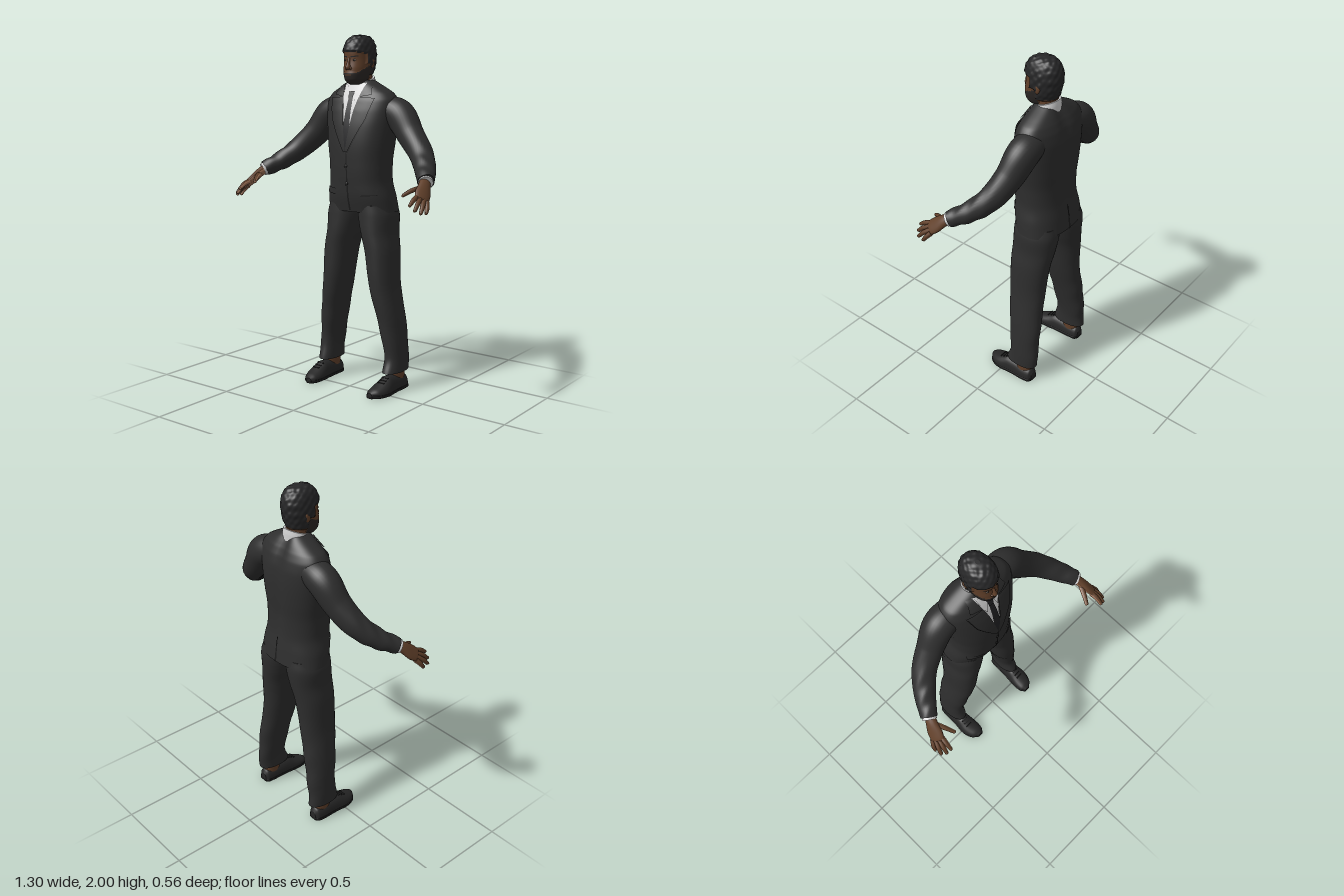
import * as THREE from 'three';

const V = (x, y, z) => new THREE.Vector3(x, y, z);
const mat = (name, color, side = THREE.FrontSide) => {
  const m = new THREE.MeshStandardMaterial({ color, side });
  m.name = name;
  return m;
};
const POW = 2.3;
const spow = (c, p) => Math.sign(c) * Math.abs(c) ** (2 / p);

// Smooth curves through section keys [x, y, z, halfWidth, halfDepth]
function curves(keys) {
  return [
    new THREE.CatmullRomCurve3(keys.map(k => V(k[0], k[1], k[2]))),
    new THREE.CatmullRomCurve3(keys.map(k => V(k[3], k[4], 0))),
  ];
}

// Skins superelliptic sections; a fixed axis keeps the sections parallel
function loft(keys, { axis, ref = V(0, 0, -1), pow = 2, steps = 24, seg = 28, warp, paint } = {}) {
  const [path, size] = curves(keys);
  const pos = [], groups = [];
  for (let i = 0; i <= steps; i++) {
    const t = i / steps, c = path.getPoint(t), r = size.getPoint(t);
    const T = axis || path.getTangent(t);
    const s = ref.clone().cross(T).normalize(), w = T.clone().cross(s).normalize();
    for (let j = 0; j < seg; j++) {
      const a = j / seg * Math.PI * 2;
      const p = c.clone().addScaledVector(s, r.x * spow(Math.cos(a), pow)).addScaledVector(w, r.y * spow(Math.sin(a), pow));
      if (warp) warp(p);
      pos.push(p.x, p.y, p.z);
    }
  }
  const at = k => V(pos[k * 3], pos[k * 3 + 1], pos[k * 3 + 2]);
  for (let i = 0; i < steps; i++) for (let j = 0; j < seg; j++) {
    const a = i * seg + j, b = i * seg + (j + 1) % seg, c = b + seg, d = a + seg;
    const g = paint ? paint(at(a).add(at(c)).multiplyScalar(0.5)) : 0;
    (groups[g] ||= []).push(a, b, c, a, c, d);
  }
  // Flat end caps with their own corners
  for (const end of [0, steps]) {
    const base = pos.length / 3, mid = V(0, 0, 0);
    for (let j = 0; j < seg; j++) {
      const p = at(end * seg + j);
      pos.push(p.x, p.y, p.z);
      mid.addScaledVector(p, 1 / seg);
    }
    pos.push(mid.x, mid.y, mid.z);
    const g = paint ? paint(mid) : 0;
    for (let j = 0; j < seg; j++) {
      const k = base + j, n = base + (j + 1) % seg;
      (groups[g] ||= []).push(base + seg, end ? k : n, end ? n : k);
    }
  }
  const geo = new THREE.BufferGeometry();
  geo.setAttribute('position', new THREE.Float32BufferAttribute(pos, 3));
  const index = [];
  groups.forEach((list, g) => {
    geo.addGroup(index.length, list.length, g);
    for (const k of list) index.push(k);
  });
  geo.setIndex(index);
  geo.computeVertexNormals();
  return geo;
}

// Depth of an upright loft's front (sign 1) or back (sign -1) at x, y
function surfaceZ(keys, pow, x, y, sign = 1) {
  const [path, size] = curves(keys);
  let lo = 0, hi = 1;
  for (let i = 0; i < 24; i++) {
    const m = (lo + hi) / 2;
    if (path.getPoint(m).y < y) lo = m; else hi = m;
  }
  const r = size.getPoint(lo), u = Math.min(1, Math.abs(x) / r.x);
  return path.getPoint(lo).z + sign * r.y * (1 - u ** pow) ** (1 / pow);
}

// Thin cloth plate between two [x, y] edges, laid on a loft's surface
function patch(keys, pow, edgeA, edgeB, off, m = 1, sign = 1) {
  const along = (e, t) => {
    const f = t * (e.length - 1), i = Math.min(e.length - 2, Math.floor(f)), k = f - i;
    return [0, 1].map(n => e[i][n] * (1 - k) + e[i + 1][n] * k);
  };
  const geo = new THREE.PlaneGeometry(1, 1, 6, 16), p = geo.attributes.position;
  for (let i = 0; i < p.count; i++) {
    const u = p.getX(i) + 0.5, t = 0.5 - p.getY(i), a = along(edgeA, t), b = along(edgeB, t);
    const x = a[0] + (b[0] - a[0]) * u, y = a[1] + (b[1] - a[1]) * u;
    p.setXYZ(i, x * m, y, surfaceZ(keys, pow, x, y, sign) + off * sign);
  }
  geo.computeVertexNormals();
  return geo;
}

export function createModel() {
  const model = new THREE.Group();
  model.name = 'suitedMan';
  const D = THREE.DoubleSide;
  const suit = mat('charcoalSuit', 0x2e2e2e, D), seam = mat('darkSeam', 0x1c1c1c, D), shirt = mat('whiteShirt', 0xd2d2d2, D);
  const tie = mat('blackTie', 0x222224, D), leather = mat('shoeLeather', 0x272727), skin = mat('brownSkin', 0x61402a, D);
  const palmSkin = mat('palmSkin', 0x9c7055), hair = mat('blackHair', 0x262627, D), beard = mat('beard', 0x2b2725);
  const eyeWhite = mat('eyeWhite', 0xa89c90);
  const add = (name, geo, material, parent = model) => {
    const mesh = new THREE.Mesh(geo, material);
    mesh.name = name;
    parent.add(mesh);
    return mesh;
  };
  const ball = (name, x, y, z, sx, sy, sz, material) => {
    const b = add(name, new THREE.SphereGeometry(1, 16, 12), material);
    b.position.set(x, y, z);
    b.scale.set(sx, sy, sz);
    return b;
  };
  const Y = V(0, 1, 0), Z = V(0, 0, 1);

  // Jacket body: y, front z, back z, half width
  const torso = [
    [1.02, 0.0, -0.275, 0.215], [1.1, 0.02, -0.265, 0.205], [1.2, 0.03, -0.252, 0.184], [1.3, 0.035, -0.25, 0.186],
    [1.4, 0.035, -0.257, 0.2], [1.5, 0.025, -0.26, 0.213], [1.58, 0.008, -0.255, 0.222], [1.64, -0.012, -0.24, 0.222],
    [1.68, -0.03, -0.222, 0.195], [1.71, -0.045, -0.205, 0.145], [1.738, -0.058, -0.188, 0.092], [1.75, -0.065, -0.18, 0.07],
  ].map(([y, f, b, w]) => [0, y, (f + b) / 2, w, (f - b) / 2]);
  // Shallow spine hollow and shoulder blades
  const spine = p => {
    if (p.z < -0.15 && p.y > 1.1) p.z += 0.012 * Math.exp(-((p.x / 0.035) ** 2)) * Math.min(1, (p.y - 1.1) * 5);
  };
  add('jacketBody', loft(torso, { axis: Y, pow: POW, steps: 60, seg: 64, warp: spine }), suit);
  const cloth = (name, a, b, off, material, m, sign) => add(name, patch(torso, POW, a, b, off, m, sign), material);

  cloth('tieBlade', [[-0.014, 1.66], [-0.021, 1.5], [-0.008, 1.36]], [[0.014, 1.66], [0.021, 1.5], [0.008, 1.36]], 0.008, tie);
  cloth('tieKnot', [[-0.021, 1.692], [-0.013, 1.65]], [[0.021, 1.692], [0.013, 1.65]], 0.013, tie);
  cloth('frontClosure', [[0, 1.37], [0, 1.03]], [[0.005, 1.37], [0.012, 1.03]], 0.003, seam);
  cloth('backVent', [[-0.003, 1.17], [-0.007, 1.022]], [[0.003, 1.17], [0.007, 1.022]], 0.004, seam, 1, -1);
  for (const y of [1.28, 1.18]) ball('jacketButton', 0.001, y, surfaceZ(torso, POW, 0, y) + 0.004, 0.01, 0.01, 0.004, seam);

  // Standing shirt collar, lower at the throat
  add('shirtCollar', loft([[0, 1.69, -0.122, 0.078, 0.068], [0, 1.73, -0.122, 0.075, 0.066], [0, 1.757, -0.122, 0.068, 0.062]],
    { axis: Y, warp: p => { p.y -= (p.z + 0.122) * 0.35; } }), shirt);
  add('neck', loft([[0, 1.66, -0.125, 0.064, 0.06], [0, 1.74, -0.12, 0.057, 0.057], [0, 1.81, -0.105, 0.056, 0.062]], { axis: Y }), skin);

  for (const m of [1, -1]) {
    // Shirt front, collar wings, jacket collar, lapels and pocket flaps
    cloth('shirtFront', [[0, 1.735], [0, 1.36]], [[0.075, 1.735], [0.055, 1.66], [0.035, 1.59], [0.004, 1.36]], 0.004, shirt, m);
    cloth('collarWing', [[0.01, 1.70], [0.035, 1.622]], [[0.068, 1.738], [0.052, 1.655]], 0.01, shirt, m);
    cloth('jacketCollar', [[0.074, 1.738], [0.052, 1.66]], [[0.105, 1.728], [0.125, 1.672]], 0.01, suit, m);
    cloth('lapel', [[0.052, 1.66], [0.036, 1.59], [0, 1.365]], [[0.148, 1.655], [0.115, 1.54], [0.012, 1.355]], 0.0095, suit, m);
    cloth('lapelEdge', [[0.148, 1.655], [0.115, 1.54], [0.012, 1.355]], [[0.151, 1.654], [0.118, 1.538], [0.014, 1.353]], 0.005, seam, m);
    cloth('pocketFlap', [[0.085, 1.15], [0.085, 1.118]], [[0.17, 1.155], [0.17, 1.123]], 0.006, suit, m);
    cloth('pocketSeam', [[0.085, 1.118], [0.085, 1.114]], [[0.17, 1.123], [0.17, 1.119]], 0.005, seam, m);

    // Sleeve with light folds at the elbow and wrist
    const fold = p => { p.y += 0.003 * Math.sin(p.z * 95) * Math.min(1, Math.max(0, (Math.abs(p.x) - 0.36) * 8)); };
    add('sleeve', loft([[0.14, 1.595, -0.14, 0.08, 0.075], [0.235, 1.56, -0.142, 0.085, 0.088], [0.325, 1.455, -0.122, 0.073, 0.077],
      [0.42, 1.36, -0.08, 0.066, 0.066], [0.495, 1.288, -0.005, 0.058, 0.055], [0.558, 1.236, 0.086, 0.045, 0.043]]
      .map(k => [k[0] * m, ...k.slice(1)]), { ref: Y, steps: 50, seg: 32, warp: fold }), suit);
    add('shirtCuff', loft([[0.545 * m, 1.246, 0.067, 0.038, 0.036], [0.565 * m, 1.23, 0.097, 0.039, 0.036]], { ref: Y, steps: 2 }), shirt);

    // Hand: brown back and a lighter twin shifted toward the palm side
    const back = V(0.77 * m, 0.6, 0.23);
    const fingers = [
      [[0.58, 1.172, 0.2], [0.585, 1.158, 0.24], [0.586, 1.136, 0.272]],
      [[0.594, 1.162, 0.192], [0.607, 1.138, 0.236], [0.612, 1.111, 0.266]],
      [[0.608, 1.152, 0.18], [0.626, 1.125, 0.219], [0.634, 1.097, 0.245]],
      [[0.618, 1.143, 0.167], [0.635, 1.117, 0.19], [0.641, 1.094, 0.206]],
      [[0.562, 1.212, 0.13], [0.535, 1.197, 0.185], [0.514, 1.176, 0.226]],
    ];
    for (const [side, material, scale, shift] of [['Back', skin, 1, 0], ['Palm', palmSkin, 0.95, -0.005]]) {
      const hand = new THREE.Group();
      hand.name = 'hand' + side;
      hand.position.copy(back).multiplyScalar(shift);
      model.add(hand);
      add('palm' + side, loft([[0.55, 1.243, 0.077, 0.028, 0.024], [0.57, 1.216, 0.118, 0.034, 0.022], [0.588, 1.18, 0.16, 0.044, 0.019],
        [0.6, 1.157, 0.188, 0.04, 0.015], [0.603, 1.15, 0.196, 0.03, 0.008]]
        .map(k => [k[0] * m, k[1], k[2], k[3] * scale, k[4] * scale]), { ref: back, seg: 20 }), material, hand);
      for (const f of fingers) {
        const keys = f.map((p, i) => [p[0] * m, p[1], p[2], [0.013, 0.012, 0.009][i] * scale, [0.013, 0.011, 0.008][i] * scale]);
        add('finger' + side, loft(keys, { ref: back, steps: 8, seg: 10 }), material, hand);
        const tip = add('fingertip' + side, new THREE.SphereGeometry(0.0085 * scale, 10, 8), material, hand);
        tip.position.set(f[2][0] * m, f[2][1], f[2][2]);
      }
    }

    // Trouser leg with soft creases
    const crease = p => { p.z += 0.004 * Math.sin(p.y * 34 + p.x * 20) * Math.max(0, 1 - p.y * 1.3); };
    add('trouserLeg', loft([[0.2325, 0.11, -0.128, 0.053, 0.102], [0.23, 0.2, -0.14, 0.055, 0.09], [0.203, 0.4, -0.13, 0.067, 0.1],
      [0.165, 0.6, -0.115, 0.076, 0.11], [0.1425, 0.8, -0.12, 0.0875, 0.12], [0.12, 0.9, -0.127, 0.095, 0.128],
      [0.107, 1.0, -0.133, 0.107, 0.131], [0.1, 1.06, -0.13, 0.096, 0.125]]
      .map(k => [k[0] * m, ...k.slice(1)]), { axis: Y, pow: 2.15, steps: 50, seg: 36, warp: crease }), suit);
    add('ankle', loft([[0.233 * m, 0.05, -0.14, 0.036, 0.055], [0.233 * m, 0.13, -0.14, 0.038, 0.055]], { axis: Y, steps: 3 }), skin);

    // Shoe: x, z, half width, top height
    const shoe = [[0.233, -0.21, 0.024, 0.055], [0.234, -0.195, 0.04, 0.078], [0.235, -0.15, 0.045, 0.085], [0.234, -0.09, 0.046, 0.094],
      [0.234, -0.04, 0.049, 0.097], [0.234, 0.0, 0.054, 0.08], [0.231, 0.04, 0.053, 0.062], [0.225, 0.08, 0.041, 0.047], [0.218, 0.107, 0.015, 0.032]];
    add('shoeUpper', loft(shoe.map(([x, z, a, h]) => [x * m, 0.018, z, a, h - 0.018]),
      { axis: Z, ref: Y, pow: 2.2, steps: 36, warp: p => { p.y = Math.max(p.y, 0.012); } }), leather);
    add('shoeSole', loft(shoe.map(([x, z, a]) => [x * m, 0.01, z, a + 0.003, 0.01]), { axis: Z, ref: Y, pow: 6, steps: 36 }), seam);
    for (const [z, y] of [[-0.022, 0.089], [-0.002, 0.08], [0.018, 0.071]]) {
      const lace = add('shoeLace', new THREE.BoxGeometry(0.042, 0.008, 0.007), seam);
      lace.position.set(0.234 * m, y, z);
      lace.rotation.x = 0.45;
    }
  }

  // Head: y, front z, back z, half width; painted as skin, hair or beard
  const head = [
    [1.728, -0.03, -0.075, 0.024], [1.736, -0.008, -0.105, 0.042], [1.755, 0.01, -0.14, 0.057], [1.785, 0.015, -0.165, 0.067],
    [1.82, 0.012, -0.178, 0.073], [1.86, 0.006, -0.187, 0.075], [1.9, 0.008, -0.192, 0.075], [1.935, 0.0, -0.188, 0.07],
    [1.965, -0.02, -0.172, 0.058], [1.983, -0.045, -0.15, 0.038], [1.99, -0.085, -0.11, 0.01],
  ].map(([y, f, b, w]) => [0, y, (f + b) / 2, w, (f - b) / 2]);
  const isHair = p => p.y > (p.z > -0.06 ? 1.905 + p.z * 0.2 : p.z > -0.095 ? 1.84 : 1.785);
  const isBeard = p => p.z > -0.1 && p.y < 1.792 + 0.55 * Math.max(0, -p.z - 0.005);
  const grow = p => {
    const out = p.clone().sub(V(0, 1.86, -0.09)).normalize();
    const curl = Math.sin(p.x * 150) * Math.sin(p.y * 140 + 1) * Math.sin(p.z * 145);
    if (isHair(p)) p.addScaledVector(out, 0.009 + 0.004 * curl);
    else if (isBeard(p)) p.addScaledVector(out, 0.002);
  };
  add('head', loft(head, { axis: Y, pow: 2.15, steps: 72, seg: 72, warp: grow, paint: p => isHair(p) ? 1 : isBeard(p) ? 2 : 0 }), [skin, hair, beard]);
  const face = (x, y) => surfaceZ(head, 2.15, x, y);

  // Nose and mouth
  add('noseBridge', loft([[0, 1.808, 0.012, 0.015, 0.012], [0, 1.82, 0.014, 0.014, 0.017], [0, 1.84, 0.01, 0.009, 0.014], [0, 1.872, 0.004, 0.007, 0.007]],
    { axis: Y, steps: 14, seg: 18 }), skin);
  add('mouth', patch(head, 2.15, [[-0.02, 1.781], [-0.02, 1.776]], [[0.02, 1.781], [0.02, 1.776]], 0.005), skin);
  for (const m of [1, -1]) {
    ball('nostril', 0.013 * m, 1.815, 0.012, 0.009, 0.008, 0.009, skin);
    // Eyes, brows and ears
    ball('eye', 0.03 * m, 1.86, face(0.03, 1.86) - 0.001, 0.011, 0.005, 0.004, eyeWhite);
    ball('pupil', 0.03 * m, 1.86, face(0.03, 1.86) + 0.002, 0.005, 0.005, 0.002, seam);
    add('eyebrow', patch(head, 2.15, [[0.012, 1.881], [0.012, 1.874]], [[0.05, 1.884], [0.05, 1.879]], 0.003, m), hair);
    ball('ear', 0.077 * m, 1.845, -0.108, 0.008, 0.027, 0.016, skin).rotation.x = -0.2;
  }
  return model;
}
